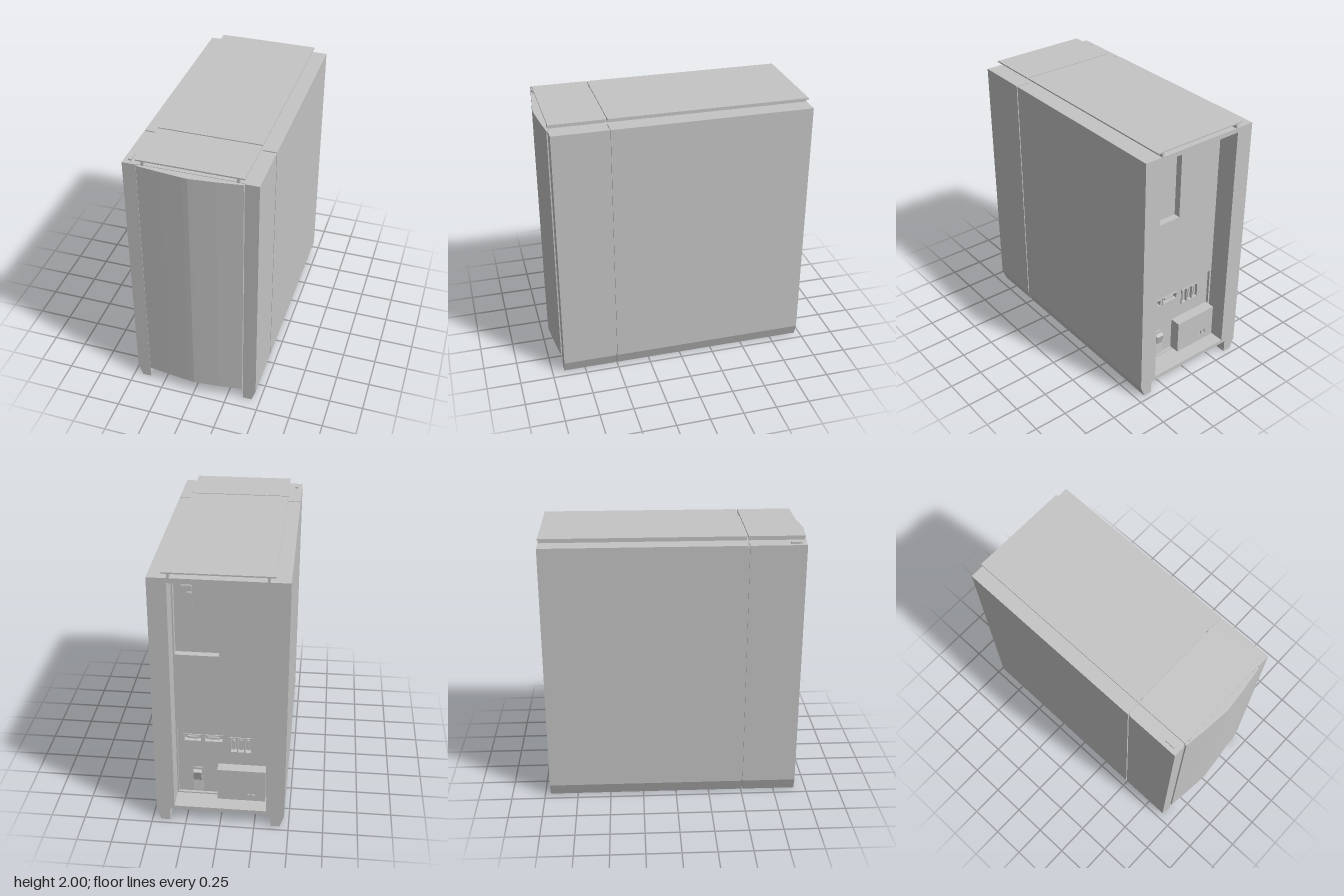
import * as THREE from 'three';

export function createModel() {
  const model = new THREE.Group();
  const grey = new THREE.MeshStandardMaterial({ color: 0xc4c4c4 });
  grey.name = 'casing grey';

  const add = (name, geometry) => {
    const mesh = new THREE.Mesh(geometry, grey);
    mesh.name = name;
    model.add(mesh);
    return mesh;
  };
  // Box given by its limits on each axis
  const box = (name, x0, x1, y0, y1, z0, z1) => {
    const g = new THREE.BoxGeometry(x1 - x0, y1 - y0, z1 - z0);
    g.translate((x0 + x1) / 2, (y0 + y1) / 2, (z0 + z1) / 2);
    return add(name, g);
  };
  const outline = (pts) => pts.map(([x, y]) => new THREE.Vector2(x, y));
  const rect = (x0, x1, y0, y1) => outline([[x0, y0], [x1, y0], [x1, y1], [x0, y1]]);
  // Outline in x and y, with holes, extruded from z0 to z1
  const slab = (name, pts, z0, z1, holes = []) => {
    const shape = new THREE.Shape(pts);
    holes.forEach((h) => shape.holes.push(new THREE.Path(h)));
    const g = new THREE.ExtrudeGeometry(shape, { depth: z1 - z0, bevelEnabled: false });
    g.translate(0, 0, z0);
    return add(name, g);
  };

  // Front and rear sections, parted by a narrow seam
  const sections = [['rear', -0.96, 0.5], ['front', 0.51, 0.91]];
  for (const [part, z0, z1] of sections) {
    for (const s of [-1, 1]) {
      // Side wall with a chamfered foot
      const pts = [[0.37, 0], [0.435, 0], [0.467, 0.09], [0.467, 1.96], [0.37, 1.96]];
      slab(part + 'SideWall', outline(pts.map(([x, y]) => [x * s, y])), z0, z1);
      box(part + 'LidRail', s * 0.325 - 0.008, s * 0.325 + 0.008, 1.96, 1.992, z0, z1);
    }
    box(part + 'Lid', -0.37, 0.37, 1.99, 2, z0, z1);
  }
  // Backing behind the seam
  for (const s of [-1, 1]) {
    slab('seamBacking', outline([[0.37, 0.02], [0.425, 0.02], [0.457, 0.1], [0.457, 1.95], [0.37, 1.95]]
      .map(([x, y]) => [x * s, y])), 0.495, 0.515);
  }

  // Inner body and the frame round the rear recess
  box('innerBody', -0.37, 0.37, 0.1, 1.96, -0.75, 0.9);
  slab('rearFrame', rect(-0.37, 0.37, 0.1, 1.96), -0.96, -0.75, [rect(-0.335, 0.335, 0.13, 1.925)]);

  // Front door, swelling to a shallow ridge in the middle
  const door = new THREE.Shape(outline([
    [-0.365, 0.9], [0.365, 0.9], [0.365, 0.918], [0.19, 0.94], [0.04, 0.955],
    [0, 0.958], [-0.04, 0.955], [-0.19, 0.94], [-0.365, 0.918],
  ]));
  const doorShape = new THREE.ExtrudeGeometry(door, { depth: 1.86, bevelEnabled: false });
  doorShape.rotateX(Math.PI / 2);
  doorShape.translate(0, 1.957, 0);
  add('frontDoor', doorShape);

  // Power button on top
  slab('powerButton', rect(-0.434, -0.412, 1.955, 1.972), 0.8, 0.875);

  // Rear panel with the cover recess and the connector bay
  slab('rearPanel', rect(-0.335, 0.335, 0.13, 1.925), -0.8, -0.75, [
    rect(0.016, 0.325, 1.31, 1.915),
    rect(-0.32, 0.325, 0.14, 0.705),
  ]);
  // Latch inside the cover recess
  box('latchBar', 0.2, 0.275, 1.79, 1.82, -0.765, -0.75);
  box('latchTab', 0.2, 0.235, 1.68, 1.77, -0.765, -0.75);

  // Connector plate with its sockets cut through
  const sockets = [
    [0.155, 0.275, 0.595, 0.64], [0, 0.125, 0.595, 0.64],
    ...[0, 1, 2].map((i) => [-0.105 - i * 0.052, -0.063 - i * 0.052, 0.515, 0.63]),
  ];
  slab('connectorPlate', rect(-0.32, 0.325, 0.14, 0.705), -0.78, -0.75, sockets.map((r) => rect(...r)));
  for (const [x0, x1, y0, y1] of sockets) {
    slab('socketRim', rect(x0 - 0.008, x1 + 0.008, y0 - 0.008, y1 + 0.008), -0.788, -0.78,
      [rect(x0, x1, y0, y1)]);
    const wide = x1 - x0 > y1 - y0;
    const mx = (x0 + x1) / 2, my = (y0 + y1) / 2;
    const hx = wide ? 0.04 : 0.008, hy = wide ? 0.008 : 0.04;
    box('socketTongue', mx - hx, mx + hx, my - hy, my + hy, -0.78, -0.75);
  }

  // Rocker switch, its upper half tilted outwards
  box('switchBase', 0.145, 0.215, 0.17, 0.36, -0.79, -0.77);
  const upper = box('switchUpper', -0.03, 0.03, 0, 0.09, -0.015, 0.015);
  upper.position.set(0.18, 0.265, -0.795);
  upper.rotation.x = -0.3;
  const lower = box('switchLower', -0.03, 0.03, -0.09, 0, -0.015, 0.015);
  lower.position.set(0.18, 0.265, -0.795);
  lower.rotation.x = 0.1;

  // Power inlet housing with pin holes
  const pins = [-0.2, -0.235].map((x) => rect(x - 0.01, x + 0.01, 0.19, 0.225));
  slab('powerInlet', rect(-0.32, 0.03, 0.14, 0.4), -0.86, -0.85, pins);
  box('powerInletBody', -0.32, 0.03, 0.14, 0.4, -0.85, -0.77);

  return model;
}
